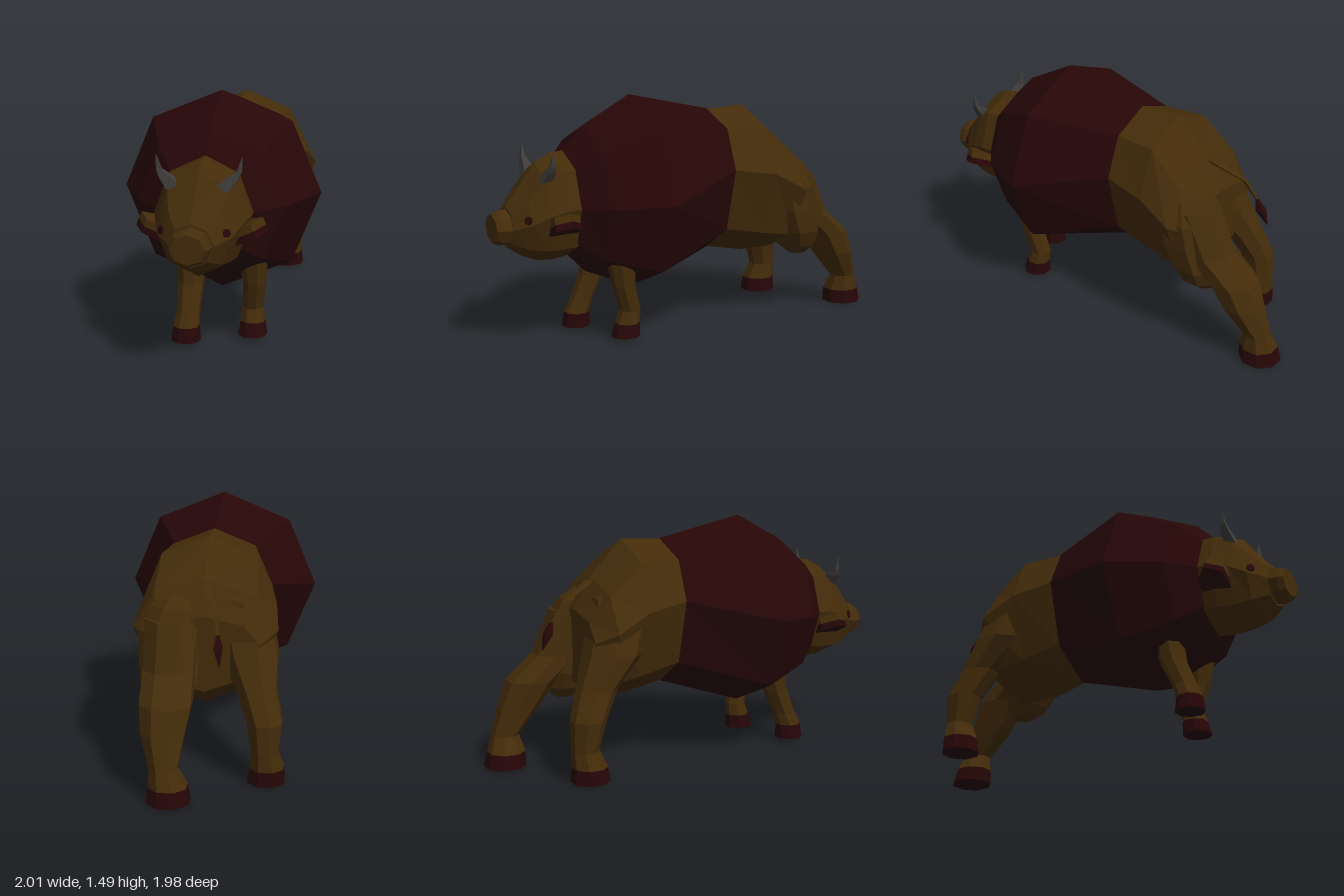
import * as THREE from 'three';

const YAW = -0.761, OX = -0.033, OZ = -0.031, SIDES = 8;
const UP = new THREE.Vector3(0, 1, 0);

function material(name, color) {
  const m = new THREE.MeshStandardMaterial({ color, flatShading: true });
  m.name = name;
  return m;
}

// Skin a closed tube over rings of points, with both ends capped.
function loft(rings) {
  const pos = [];
  const tri = (...p) => p.forEach(v => pos.push(v.x, v.y, v.z));
  const n = rings[0].length;
  for (let i = 0; i < rings.length - 1; i++) {
    for (let k = 0; k < n; k++) {
      const j = (k + 1) % n;
      const a = rings[i][k], b = rings[i][j], c = rings[i + 1][j], d = rings[i + 1][k];
      tri(a, b, c);
      tri(a, c, d);
    }
  }
  const cap = (ring, flip) => {
    const c = ring.reduce((s, p) => s.add(p), new THREE.Vector3()).divideScalar(n);
    for (let k = 0; k < n; k++) {
      const p = ring[k], q = ring[(k + 1) % n];
      flip ? tri(c, q, p) : tri(c, p, q);
    }
  };
  cap(rings[0], true);
  cap(rings[rings.length - 1], false);
  const g = new THREE.BufferGeometry();
  g.setAttribute('position', new THREE.Float32BufferAttribute(pos, 3));
  g.computeVertexNormals();
  return g;
}

// Upright body section: [z, top, bottom, halfWidth, height of widest point]
function section([z, top, bottom, hw, mid]) {
  return Array.from({ length: SIDES }, (_, k) => {
    const a = k * Math.PI * 2 / SIDES, c = Math.cos(a);
    return new THREE.Vector3(Math.sin(a) * hw, mid + c * (c > 0 ? top - mid : mid - bottom), z);
  });
}

// Horizontal section around a point
function flatRing(p, rx, rz, sides = SIDES) {
  return Array.from({ length: sides }, (_, k) => {
    const a = (k + 0.5) * Math.PI * 2 / sides;
    return new THREE.Vector3(p.x + Math.sin(a) * rx, p.y, p.z + Math.cos(a) * rz);
  });
}

// Turn standing coordinates into the body's own frame.
const local = (x, y, z) => new THREE.Vector3(x - OX, y, z - OZ).applyAxisAngle(UP, -YAW);
const limbRings = (rows, sides) => rows.map(([x, y, z, r]) => flatRing(local(x, y, z), r, r, sides));

export function createModel() {
  const model = new THREE.Group();
  model.name = 'bison';
  const body = new THREE.Group();
  body.name = 'body';
  body.rotation.y = YAW;
  body.position.set(OX, 0, OZ);
  model.add(body);

  const hide = material('brown hide', 0x442c0a);
  const fur = material('dark maroon fur', 0x270607);
  const horn = material('grey horn', 0x3e3c3b);

  const add = (name, geometry, mat, parent = body) => {
    const m = new THREE.Mesh(geometry, mat);
    m.name = name;
    parent.add(m);
    return m;
  };

  // Shaggy barrel-shaped mane
  add('mane', loft([
    [0.85, 1.18, 0.56, 0.285, 0.87],
    [0.71, 1.33, 0.42, 0.44, 0.88],
    [0.395, 1.5, 0.285, 0.605, 0.9],
    [-0.164, 1.38, 0.47, 0.36, 1.03],
  ].map(section)), fur);

  // Hindquarters, with the fuller left thigh
  add('hindquarters', loft([
    [-0.16, 1.375, 0.475, 0.358, 1.03],
    [-0.43, 1.39, 0.42, 0.405, 0.99],
    [-0.64, 1.17, 0.42, 0.43, 0.88],
    [-0.75, 0.98, 0.52, 0.33, 0.82],
  ].map(section)), hide);
  add('leftThigh', loft(limbRings([
    [0.62, 0.405, -0.46, 0.06], [0.62, 0.47, -0.44, 0.13], [0.61, 0.57, -0.42, 0.175],
    [0.575, 0.72, -0.38, 0.195], [0.55, 0.88, -0.36, 0.205], [0.5, 1.02, -0.35, 0.17],
    [0.43, 1.12, -0.33, 0.09]])), hide);

  // Head and muzzle
  add('head', loft([
    [1.22, 0.88, 0.63, 0.13, 0.76],
    [1.13, 0.99, 0.57, 0.21, 0.79],
    [1.03, 1.13, 0.53, 0.25, 0.84],
    [0.93, 1.18, 0.52, 0.28, 0.87],
    [0.8, 1.19, 0.54, 0.28, 0.87],
  ].map(section)), hide);
  add('muzzle', loft([
    [1.31, 0.84, 0.67, 0.1, 0.755],
    [1.275, 0.86, 0.65, 0.117, 0.755],
    [1.17, 0.87, 0.64, 0.13, 0.755],
  ].map(section)), hide);

  // Horns, ears and eyes, mirrored
  for (const [side, label] of [[1, 'left'], [-1, 'right']]) {
    add(label + 'Horn', loft([
      [0.13, 1.03, 1.02, 0.07, 0.045],
      [0.19, 1.095, 1.01, 0.05, 0.035],
      [0.228, 1.135, 1.01, 0.02, 0.02],
      [0.245, 1.215, 1.01, 0.003, 0.003],
    ].map(([x, y, z, rx, rz]) => flatRing(new THREE.Vector3(side * x, y, z), rx, rz, 4))), horn);

    // Ear: a flat slanted flap, dark underneath
    const ear = new THREE.Group();
    ear.name = label + 'Ear';
    ear.position.set(side * 0.22, 0.72, 0.95);
    ear.rotation.z = side * 0.42;
    body.add(ear);
    const outline = [[-0.02, 0.08], [0.12, 0.085], [0.18, 0], [0.09, -0.09], [-0.02, -0.09]];
    const flap = new THREE.Shape(outline.map(([x, z]) => new THREE.Vector2(side * x, -z)));
    const layer = depth => new THREE.ExtrudeGeometry(flap, { depth, bevelEnabled: false }).rotateX(-Math.PI / 2);
    add('earInner', layer(0.04), fur, ear);
    add('earOuter', layer(0.045), hide, ear).position.y = 0.04;

    const eye = add(label + 'Eye', new THREE.CylinderGeometry(0.026, 0.026, 0.009, 6), fur);
    eye.position.set(side * 0.187, 0.82, 1.15);
    eye.quaternion.setFromUnitVectors(UP, new THREE.Vector3(side * 0.72, 0.2, 0.66).normalize());
  }

  // Legs mid-stride: [x, y, z, radius] from the ground up; the lowest two rings are the hoof
  const legs = {
    leftHind: [
      [0.875, 0.01, -0.77, 0.13], [0.87, 0.1, -0.76, 0.118], [0.885, 0.2, -0.74, 0.085],
      [0.825, 0.38, -0.655, 0.135], [0.765, 0.53, -0.6, 0.16], [0.65, 0.68, -0.47, 0.16],
      [0.56, 0.95, -0.38, 0.17]],
    rightHind: [
      [0.255, 0.01, -0.885, 0.118], [0.255, 0.1, -0.89, 0.108], [0.28, 0.2, -0.9, 0.085],
      [0.265, 0.38, -0.88, 0.11], [0.25, 0.55, -0.785, 0.125], [0.2, 0.74, -0.65, 0.185],
      [0.19, 0.95, -0.56, 0.19], [0.22, 1.06, -0.53, 0.16], [0.25, 1.14, -0.46, 0.1]],
    leftFront: [
      [-0.25, 0.035, 0.51, 0.09], [-0.24, 0.12, 0.5, 0.078], [-0.23, 0.2, 0.485, 0.066],
      [-0.25, 0.36, 0.53, 0.07], [-0.27, 0.6, 0.545, 0.1]],
    rightFront: [
      [-0.635, 0.03, 0.37, 0.09], [-0.63, 0.12, 0.37, 0.08], [-0.605, 0.2, 0.35, 0.072],
      [-0.555, 0.36, 0.3, 0.08], [-0.52, 0.6, 0.26, 0.1]],
  };
  for (const [name, rows] of Object.entries(legs)) {
    const rings = limbRings(rows);
    add(name + 'Hoof', loft(rings.slice(0, 2)), fur);
    add(name + 'Leg', loft(rings.slice(1)), hide);
  }

  // Tail with a pointed tuft, built upward
  add('tail', loft(limbRings([
    [0.535, 0.92, -0.785, 0.01], [0.49, 1.04, -0.71, 0.018], [0.4, 1.15, -0.51, 0.035]], 4)), hide);
  add('tailTuft', loft(limbRings([
    [0.57, 0.765, -0.845, 0.003], [0.55, 0.86, -0.805, 0.034], [0.535, 0.93, -0.783, 0.012]], 4)), fur);

  return model;
}
